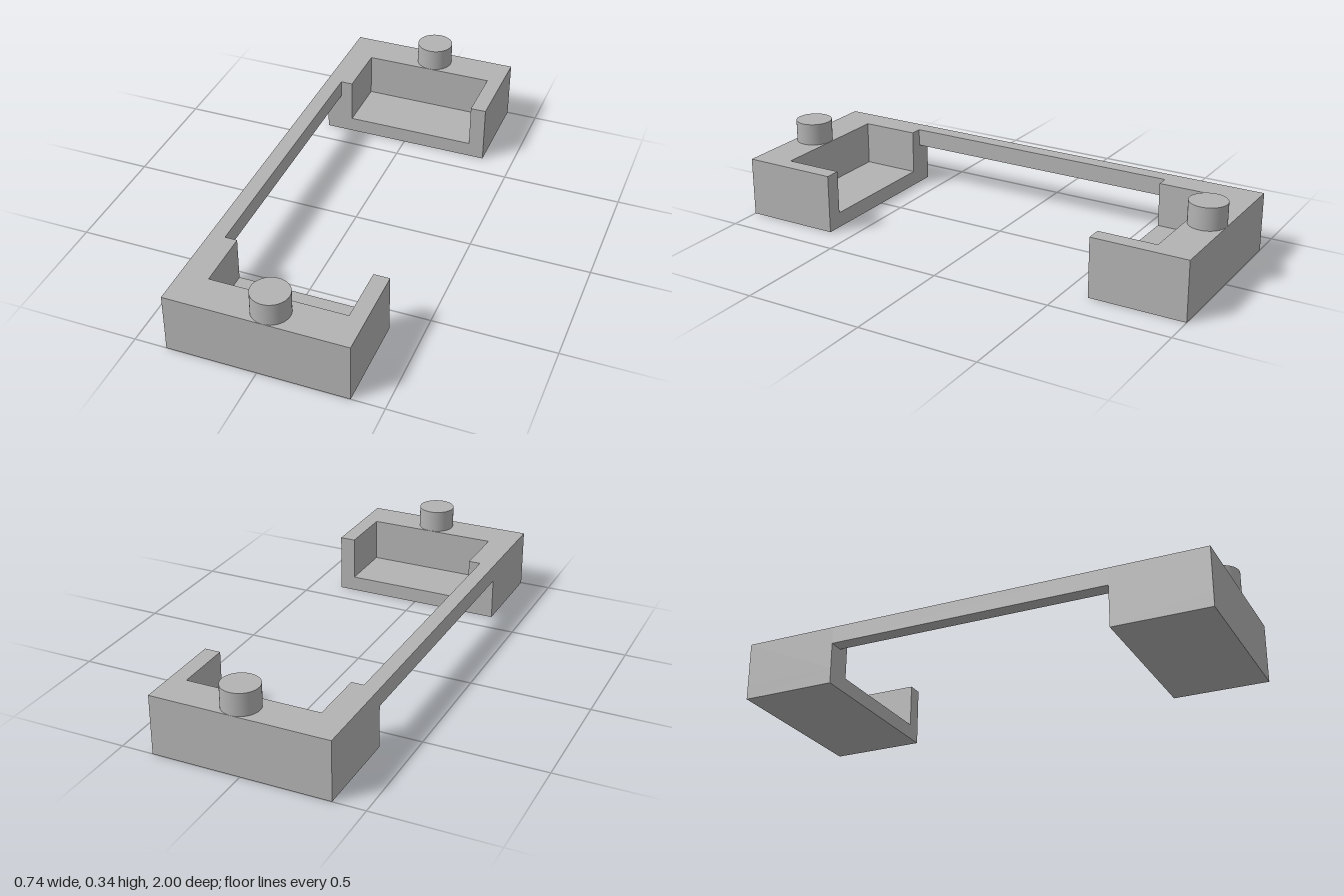
import * as THREE from 'three';

const HALF_WIDTH = 0.368, TOP = 0.248, FLOOR = 0.064;
const INNER = 0.6, OUTER = 1, RECESS_BACK = 0.845;
const RECESS_LEFT = 0.302, RECESS_RIGHT = -0.253;

export function createModel() {
  const model = new THREE.Group();
  model.name = 'bracket';
  const gray = new THREE.MeshStandardMaterial({ color: 0xb3b3b3 });
  gray.name = 'gray';

  const add = (parent, name, geometry, x, y, z) => {
    const mesh = new THREE.Mesh(geometry, gray);
    mesh.name = name;
    mesh.position.set(x, y, z);
    parent.add(mesh);
  };

  // One end block: floor slab, three-sided wall open towards the middle, and a pin
  const addEnd = (name, side, pinX) => {
    const end = new THREE.Group();
    end.name = name;
    model.add(end);

    add(end, 'floor', new THREE.BoxGeometry(2 * HALF_WIDTH, FLOOR, OUTER - INNER),
      0, FLOOR / 2, side * (INNER + OUTER) / 2);

    const outline = [
      [-HALF_WIDTH, INNER], [-HALF_WIDTH, OUTER], [HALF_WIDTH, OUTER], [HALF_WIDTH, INNER],
      [RECESS_LEFT, INNER], [RECESS_LEFT, RECESS_BACK],
      [RECESS_RIGHT, RECESS_BACK], [RECESS_RIGHT, INNER],
    ].map(([x, z]) => new THREE.Vector2(x, side * z));
    const wall = new THREE.ExtrudeGeometry(new THREE.Shape(outline),
      { depth: TOP - FLOOR, bevelEnabled: false });
    wall.rotateX(Math.PI / 2);
    add(end, 'wall', wall, 0, TOP, 0);

    const pinHeight = 0.341 - TOP;
    add(end, 'pin', new THREE.CylinderGeometry(0.0765, 0.0765, pinHeight, 48),
      pinX, TOP + pinHeight / 2, side * 0.923);
  };
  addEnd('frontEnd', 1, 0.033);
  addEnd('backEnd', -1, 0.027);

  // Thin bar joining the ends along the right edge
  const barWidth = 0.064, barHeight = 0.073;
  add(model, 'bar', new THREE.BoxGeometry(barWidth, barHeight, 2 * INNER),
    -HALF_WIDTH + barWidth / 2, TOP - barHeight / 2, 0);

  return model;
}
